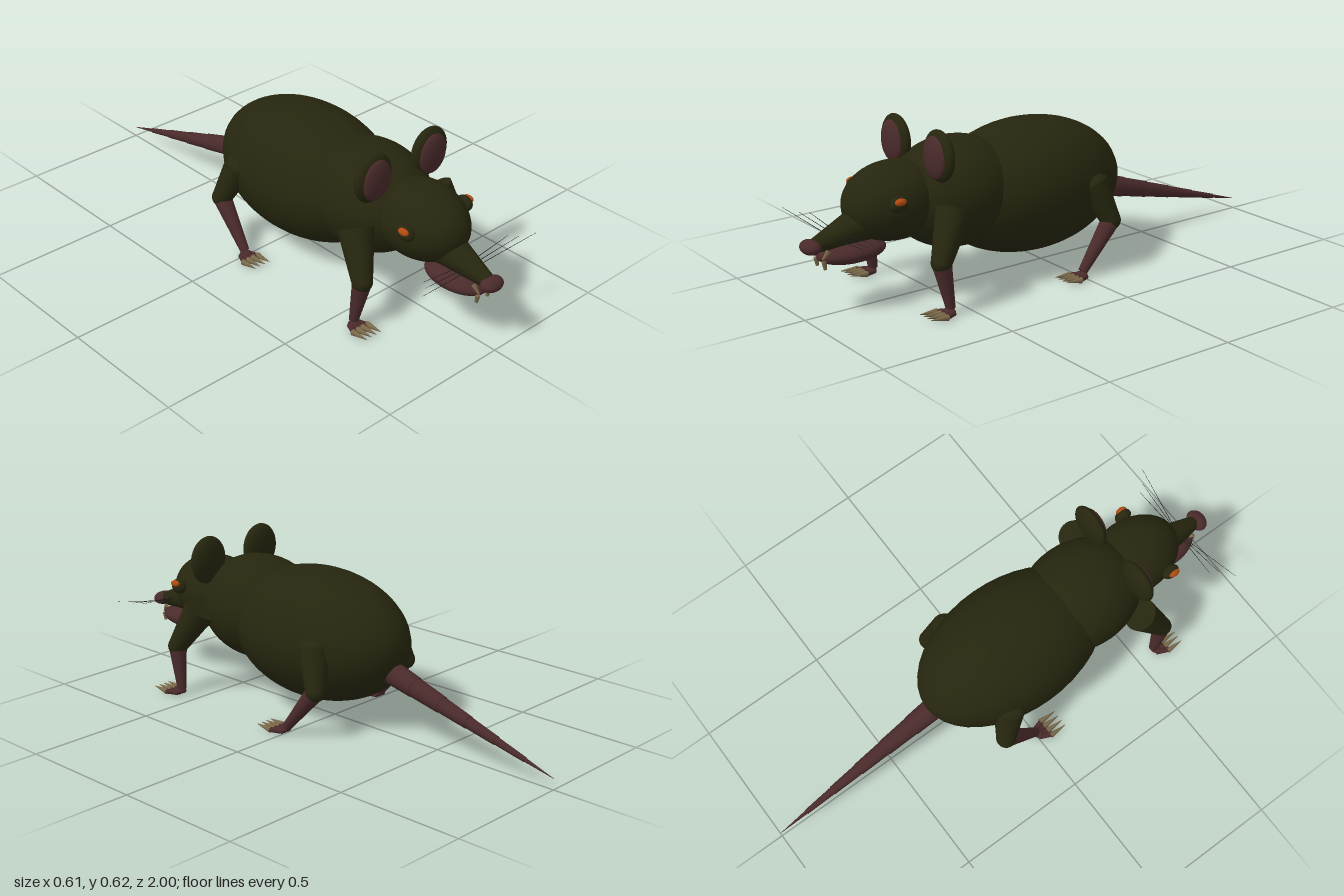
import * as THREE from 'three';

const material = (name, color) => {
  const m = new THREE.MeshStandardMaterial({ color });
  m.name = name;
  return m;
};

export function createModel() {
  const fur = material('dark olive fur', 0x26260f);
  const skin = material('dusky pink skin', 0x4a2a2b);
  const orange = material('orange eye', 0xb04a10);
  const bone = material('bone', 0x786748);
  const hair = material('whisker grey', 0x1e1e1a);

  const model = new THREE.Group();
  model.name = 'rodent';

  const add = (parent, name, geometry, mat) => {
    const mesh = new THREE.Mesh(geometry, mat);
    mesh.name = name;
    parent.add(mesh);
    return mesh;
  };
  const group = (parent, name) => {
    const g = new THREE.Group();
    g.name = name;
    parent.add(g);
    return g;
  };
  // Ellipsoid from centre and three radii
  const blob = (parent, name, centre, radii, mat) => {
    const mesh = add(parent, name, new THREE.SphereGeometry(1, 40, 28), mat);
    mesh.position.set(...centre);
    mesh.scale.set(...radii);
    return mesh;
  };
  // Tapered round limb from point a (radius ra) to point b (radius rb)
  const limb = (parent, name, a, b, ra, rb, mat, sides = 20) => {
    const start = new THREE.Vector3(...a);
    const end = new THREE.Vector3(...b);
    const dir = end.clone().sub(start);
    const mesh = add(parent, name, new THREE.CylinderGeometry(rb, ra, dir.length(), sides), mat);
    mesh.position.copy(start).add(end).multiplyScalar(0.5);
    mesh.quaternion.setFromUnitVectors(new THREE.Vector3(0, 1, 0), dir.normalize());
    return mesh;
  };

  // Torso and head
  blob(model, 'body', [0, 0.313, 0.07], [0.245, 0.247, 0.39], fur);
  blob(model, 'shoulders', [0, 0.347, 0.39], [0.2, 0.2, 0.25], fur);
  const head = group(model, 'head');
  blob(head, 'skull', [0, 0.36, 0.64], [0.14, 0.14, 0.19], fur);
  limb(head, 'snout', [0, 0.31, 0.74], [0, 0.258, 0.95], 0.07, 0.026, fur, 32);
  blob(head, 'nose', [0, 0.257, 0.966], [0.045, 0.026, 0.034], skin);
  blob(head, 'lowerJaw', [0, 0.212, 0.81], [0.077, 0.039, 0.13], skin);

  for (const s of [-1, 1]) {
    // Ears, eyes
    const ear = group(head, 'ear');
    blob(ear, 'outerEar', [s * 0.136, 0.528, 0.535], [0.083, 0.092, 0.032], fur);
    blob(ear, 'innerEar', [s * 0.135, 0.525, 0.553], [0.064, 0.076, 0.022], skin);
    blob(head, 'eyeSocket', [s * 0.142, 0.39, 0.703], [0.023, 0.029, 0.034], fur);
    blob(head, 'eye', [s * 0.158, 0.403, 0.706], [0.013, 0.013, 0.022], orange);

    // Teeth
    limb(head, 'upperTooth', [s * 0.031, 0.24, 0.915], [s * 0.026, 0.212, 0.935], 0.009, 0.004, bone, 10);
    limb(head, 'fang', [s * 0.027, 0.206, 0.932], [s * 0.027, 0.177, 0.928], 0.009, 0.006, bone, 10);

    // Whiskers
    const whiskers = [
      [0.289, 0.86, 0.21, 0.300, 0.85],
      [0.28, 0.868, 0.23, 0.302, 0.88],
      [0.27, 0.876, 0.28, 0.312, 0.915],
    ];
    for (const [y0, z0, x1, y1, z1] of whiskers) {
      limb(head, 'whisker', [s * 0.035, y0, z0], [s * x1, y1, z1], 0.0014, 0.0006, hair, 6);
    }

    // Legs: hip, knee and ankle, each as [x, y, z]
    const legs = [
      ['frontLeg', [0.195, 0.347, 0.52], [0.243, 0.192, 0.605], [0.252, 0.025, 0.578], 0.064],
      ['hindLeg', [0.195, 0.33, -0.085], [0.243, 0.192, -0.135], [0.252, 0.025, 0.002], 0.058],
    ];
    for (const [name, hip, knee, ankle, r] of legs) {
      const leg = group(model, name);
      const side = ([x, y, z]) => [s * x, y, z];
      limb(leg, 'upperLeg', side(hip), side(knee), r, 0.037, fur, 28);
      if (name === 'hindLeg') blob(leg, 'hip', side(hip), [r, r * 0.7, r], fur);
      blob(leg, 'knee', side(knee), [0.037, 0.037, 0.037], fur);
      limb(leg, 'lowerLeg', side(knee), side(ankle), 0.035, 0.017, skin);
      blob(leg, 'paw', side([0.256, 0.016, ankle[2] + 0.008]), [0.026, 0.012, 0.02], skin);
      // Four fanned toes ending in claws
      for (let i = 0; i < 4; i++) {
        const x0 = 0.24 + i * 0.011;
        const x1 = 0.227 + i * 0.0225;
        const z = ankle[2];
        limb(leg, 'toe', side([x0, 0.012, z]), side([x1, 0.014, z + 0.05]), 0.009, 0.01, skin, 12);
        limb(leg, 'claw', side([x1, 0.014, z + 0.04]), side([x1 + 0.001, 0.02, z + 0.108]), 0.0115, 0.001, bone, 12);
      }
    }
  }

  // Tail of slightly stepped, tapering segments
  const tail = group(model, 'tail');
  const count = 6;
  const at = (t) => [0, 0.243 - 0.2 * t, -0.27 - 0.73 * t];
  for (let i = 0; i < count; i++) {
    const t0 = i / count;
    const t1 = (i + 1) / count;
    const r0 = 0.044 * (1 - t0);
    const r1 = 0.044 * (1 - t1);
    limb(tail, 'tailSegment', at(t0), at(t1), r0, i < count - 1 ? r1 + 0.002 : 0.0005, skin);
  }
  return model;
}
